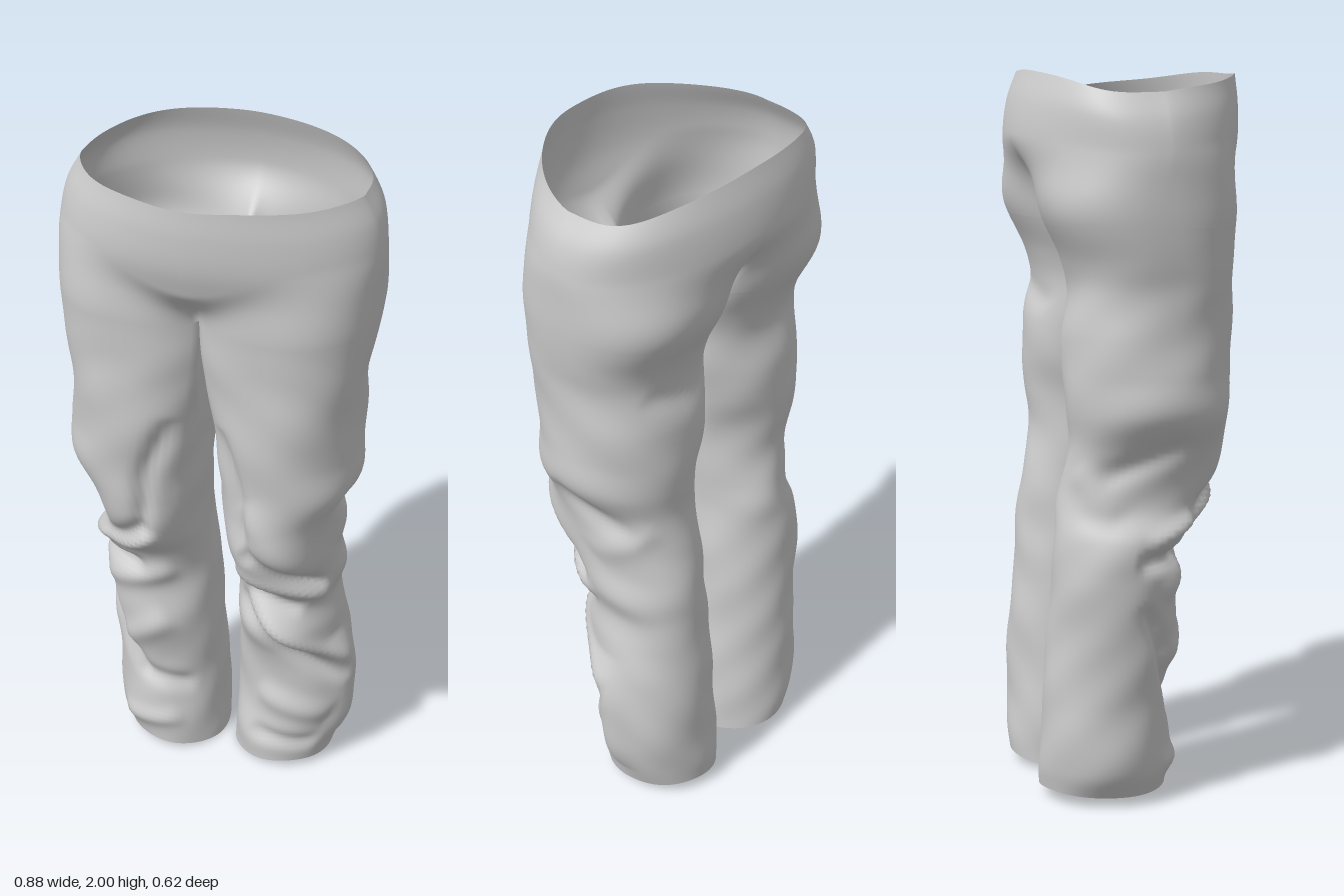
import * as THREE from 'three';
import { mergeGeometries, mergeVertices } from 'three/addons/utils/BufferGeometryUtils.js';

const CROTCH = 1.6;
const OUTER = 54, INNER = 18; // columns around the outer and inner part of a leg
const { lerp, smoothstep, clamp, degToRad } = THREE.MathUtils;
const bend = (v, power) => Math.sign(v) * Math.abs(v) ** power;

// Rows of [height, ...sizes] from top to bottom, joined by smooth curves
function track(rows) {
  const up = [...rows].reverse();
  return new THREE.CubicInterpolant(up.map((r) => r[0]), up.flatMap((r) => r.slice(1)), rows[0].length - 1);
}

// Hips: height, half width, front z, back z
const HIPS = track([
  [2.0, 0.385, 0.31, -0.268], [1.92, 0.424, 0.313, -0.297], [1.82, 0.441, 0.304, -0.312],
  [1.7, 0.44, 0.268, -0.3], [1.6, 0.435, 0.247, -0.262], [1.5, 0.42, 0.242, -0.212],
]);
// Thighs above the crotch, shared by both sides
const THIGH = [
  [1.82, -0.05, 0, 0.441, 0.285, -0.312], [1.7, -0.05, 0, 0.44, 0.262, -0.298],
  [1.6, -0.05, 0, 0.435, 0.247, -0.26], [1.5, -0.04, 0.001, 0.422, 0.242, -0.212],
];
// Legs: height, inner x, inner limit, outer x, front z, back z
const LEFT = track([
  ...THIGH, [1.43, -0.03, 0.001, 0.413, 0.24, -0.197], [1.3, -0.012, 0.001, 0.407, 0.24, -0.222],
  [1.2, 0.0, 0.002, 0.404, 0.238, -0.225], [1.1, 0.012, 0, 0.406, 0.234, -0.215],
  [1.0, 0.025, 0, 0.362, 0.23, -0.21], [0.88, 0.036, 0, 0.345, 0.225, -0.23],
  [0.8, 0.04, 0, 0.342, 0.175, -0.243], [0.72, 0.042, 0, 0.35, 0.11, -0.25],
  [0.64, 0.041, 0, 0.332, 0.082, -0.257], [0.55, 0.038, 0, 0.345, 0.098, -0.263],
  [0.44, 0.033, 0, 0.362, 0.05, -0.272], [0.33, 0.029, 0, 0.372, 0.035, -0.277],
  [0.2, 0.025, 0, 0.363, 0.035, -0.282], [0.1, 0.02, 0, 0.342, 0.055, -0.286],
  [0.03, 0.022, 0, 0.322, 0.05, -0.28],
]);
const RIGHT = track([
  ...THIGH, [1.43, -0.03, 0.002, 0.412, 0.24, -0.197], [1.3, -0.01, 0.003, 0.41, 0.24, -0.22],
  [1.2, 0.006, 0.006, 0.418, 0.236, -0.222], [1.1, 0.025, 0, 0.424, 0.23, -0.213],
  [1.0, 0.038, 0, 0.37, 0.222, -0.208], [0.9, 0.048, 0, 0.338, 0.205, -0.225],
  [0.83, 0.05, 0, 0.338, 0.17, -0.24], [0.76, 0.048, 0, 0.372, 0.115, -0.246],
  [0.65, 0.042, 0, 0.377, 0.08, -0.256], [0.5, 0.034, 0, 0.362, 0.09, -0.265],
  [0.3, 0.026, 0, 0.35, 0.065, -0.277], [0.1, 0.015, 0, 0.344, 0.08, -0.286],
  [0.03, 0.012, 0, 0.312, 0.075, -0.28],
]);
// Folds: start angle and height, end angle and height, width, depth
// (0 is the outer side of a leg, 90 the front, -90 the back)
const LEFT_FOLDS = [
  [128, 1.3, 106, 0.86, 0.025, -0.022], [112, 0.92, 30, 0.73, 0.03, -0.036],
  [112, 1.08, 35, 0.8, 0.045, 0.016], [130, 0.82, 25, 0.68, 0.028, 0.028],
  [130, 0.7, 55, 0.64, 0.025, -0.025], [140, 0.64, 20, 0.33, 0.028, -0.026],
  [125, 0.66, 15, 0.4, 0.03, 0.024], [115, 0.28, 35, 0.2, 0.04, 0.02],
  [120, 0.13, 40, 0.1, 0.025, -0.018], [25, 1.07, -45, 0.94, 0.035, -0.016],
  [0, 0.85, -60, 0.98, 0.04, 0.01], [-60, 1.42, -120, 1.35, 0.03, -0.008],
  [20, 0.5, 10, 0.08, 0.06, 0.024],
];
const RIGHT_FOLDS = [
  [125, 1.3, 102, 0.88, 0.025, -0.022], [108, 0.93, 45, 0.8, 0.03, -0.025],
  [120, 0.88, 10, 0.75, 0.03, 0.028], [95, 0.7, 5, 0.7, 0.025, -0.034],
  [125, 0.69, 35, 0.6, 0.035, 0.022], [15, 0.58, 80, 0.26, 0.028, -0.034],
  [115, 0.52, 50, 0.38, 0.04, 0.02], [70, 0.28, 135, 0.24, 0.028, -0.02],
  [120, 0.13, 45, 0.1, 0.028, 0.016], [25, 1.03, -45, 0.92, 0.035, -0.018],
  [-20, 0.82, -70, 0.95, 0.04, 0.01],
];

// Sum of soft ridges and grooves, tapering at their ends
function foldDepth(folds, a, y) {
  let sum = 0;
  for (const [a0, y0, a1, y1, width, depth] of folds) {
    const px = a * 0.18, ax = degToRad(a0) * 0.18, bx = degToRad(a1) * 0.18;
    const dx = bx - ax, dy = y1 - y0;
    const t = clamp(((px - ax) * dx + (y - y0) * dy) / (dx * dx + dy * dy), 0, 1);
    const d = Math.hypot(px - ax - dx * t, y - y0 - dy * t) / width;
    sum += depth * (1 - (2 * t - 1) ** 4) * Math.exp(-d * d);
  }
  return sum;
}

// Angles at which a leg's section meets the middle plane, in front and behind
const FRONT_SEAM = degToRad(140), BACK_SEAM = degToRad(-152);

// Squarish thigh sections turning oval towards the knee
function legSection(keys, a, y) {
  const [inner, limit, outer, front, back] = keys.evaluate(y);
  const power = lerp(1, 0.85, smoothstep(y, 1.05, 1.55));
  const x = (inner + outer) / 2 + ((outer - inner) / 2) * bend(Math.cos(a), power);
  const z = (front + back) / 2 + ((front - back) / 2) * bend(Math.sin(a), power);
  return [Math.max(x, limit), z];
}

// One leg on the +x side; columns run front, outer side, back, inner side
function legPoint(keys, folds, i, j) {
  const across = Math.max(0, (j - OUTER) / INNER);
  const a = j <= OUTER
    ? lerp(FRONT_SEAM, BACK_SEAM, j / OUTER)
    : lerp(BACK_SEAM, FRONT_SEAM - 2 * Math.PI, across);
  const angle = a < -Math.PI ? a + 2 * Math.PI : a;
  const hem = 0.017 + 0.013 * Math.cos(a) + 0.015 * Math.sin(a) ** 2 - 0.006 * Math.sin(a);
  const y = lerp(CROTCH, hem, i);
  let [x, z] = legSection(keys, a, y);
  const loose = smoothstep(CROTCH - y, 0, 0.2);
  const ripple = 0.002 * Math.sin(3 * a + 17 * y) + 0.0015 * Math.sin(5 * a - 31 * y);
  const push = loose * (foldDepth(folds, angle, y) + ripple);
  // The inner thighs hollow out between the seams
  const hollow = 0.03 * Math.sin(Math.PI * across) * smoothstep(CROTCH - y, 0, 0.12) * smoothstep(y, 0.95, 1.3);
  x += push * Math.cos(a) + hollow;
  z += push * Math.sin(a);
  return [Math.max(x, 0), y, z];
}

// One half of the hips, changing from a single oval into two thighs
function hipPoint(i, j) {
  const s = j / OUTER, phi = Math.PI * (0.5 - s), up = Math.sin(phi);
  const rim = 1.95 + 0.052 * up ** 2 - 0.014 * Math.abs(up) ** 16 * (phi > 0 ? 1 : 0)
    + 0.004 * Math.sin(5 * phi) * Math.cos(phi);
  const level = lerp(2, CROTCH, i), y = lerp(rim, CROTCH, i);
  const [lx, lz] = legSection(LEFT, lerp(FRONT_SEAM, BACK_SEAM, s), level);
  const [halfWidth, front, back] = HIPS.evaluate(level);
  // The belly reaches down to a point between the thighs
  const reach = phi > 0 ? 0.25 - 0.11 * up ** 8 : 0.23;
  const split = smoothstep(CROTCH + reach - level, 0, reach);
  // Rounded in front, broader behind
  const depth = phi > 0
    ? front * up ** lerp(0.95, 1.35, smoothstep(level, 1.7, 2))
    : back * Math.abs(up) ** lerp(0.86, 0.6, smoothstep(level, 1.82, 2));
  const x = lerp(halfWidth * Math.cos(phi), lx, split);
  return [j === 0 || j === OUTER ? 0 : Math.max(x, 0), y, lerp(depth, lz, split)];
}

// Skin a grid of points; side -1 mirrors it across x
function skin(point, rows, cols, side) {
  const pos = [], index = [];
  for (let i = 0; i <= rows; i++) {
    for (let j = 0; j <= cols; j++) {
      const [x, y, z] = point(i / rows, j);
      pos.push(side * x, y, z);
      if (i === rows || j === cols) continue;
      const a = i * (cols + 1) + j, b = a + 1, c = a + cols + 1, d = c + 1;
      if (side > 0) index.push(a, c, b, b, c, d);
      else index.push(a, b, c, b, d, c);
    }
  }
  const g = new THREE.BufferGeometry();
  g.setAttribute('position', new THREE.Float32BufferAttribute(pos, 3));
  g.setIndex(index);
  return g;
}

export function createModel() {
  const model = new THREE.Group();
  model.name = 'trousers';
  const cloth = new THREE.MeshStandardMaterial({ color: 0xcccccc, side: THREE.DoubleSide });
  const add = (name, geometry) => {
    const welded = mergeVertices(geometry, 1e-5);
    welded.computeVertexNormals();
    const mesh = new THREE.Mesh(welded, cloth);
    mesh.name = name;
    model.add(mesh);
  };

  // Waist and seat, both halves welded along the middle
  add('hips', mergeGeometries([1, -1].map((side) => skin(hipPoint, 40, OUTER, side))));

  // Open legs with creased knees
  const legs = [['leftLeg', LEFT, LEFT_FOLDS, 1], ['rightLeg', RIGHT, RIGHT_FOLDS, -1]];
  for (const [name, keys, folds, side] of legs) {
    add(name, skin((i, j) => legPoint(keys, folds, i, j), 120, OUTER + INNER, side));
  }
  return model;
}
